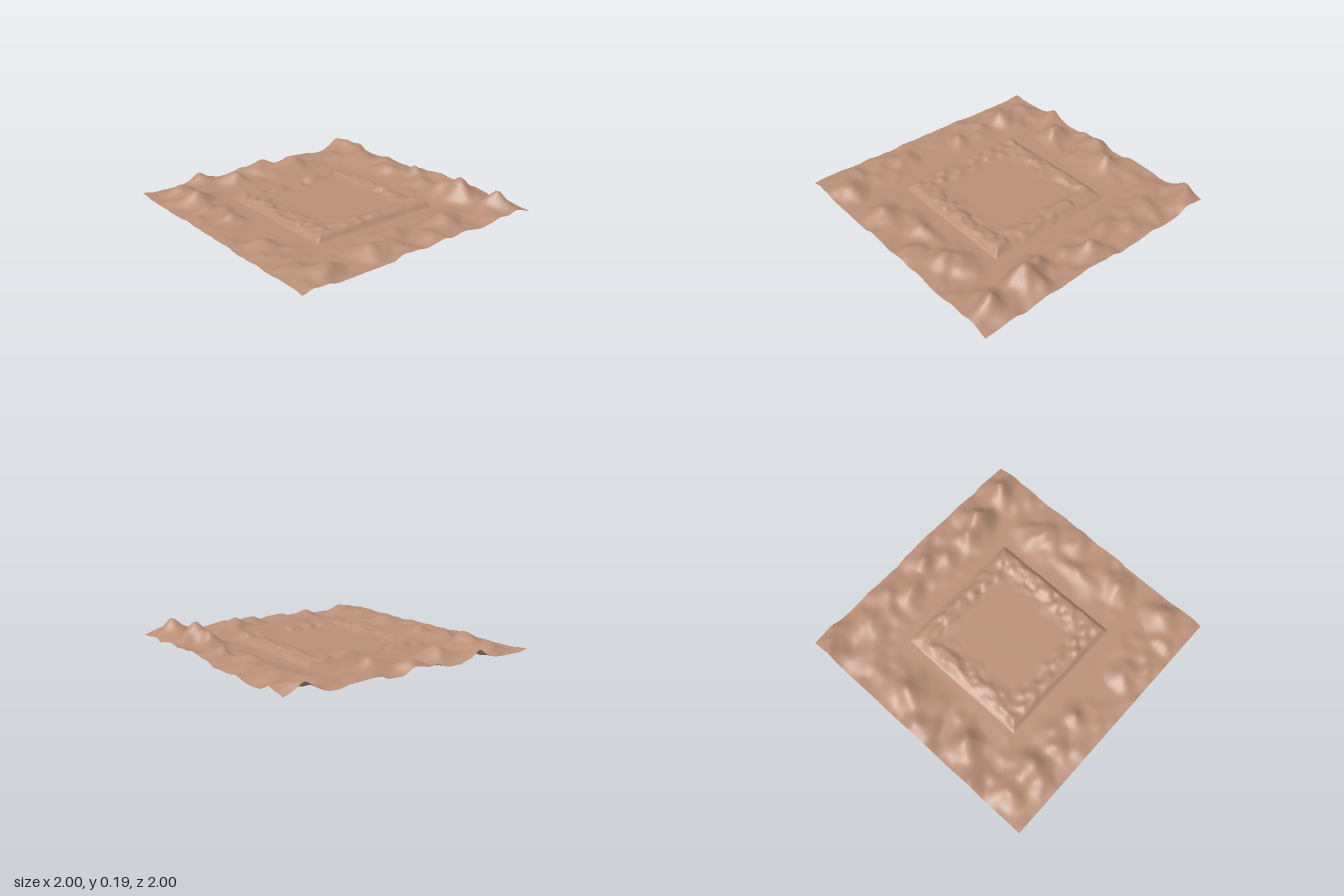
import * as THREE from 'three';

const PLAIN = 0.03;
const clamp = (v) => Math.min(1, Math.max(0, v));
const smooth = (a, b, v) => { const t = clamp((v - a) / (b - a)); return t * t * (3 - 2 * t); };

// Seeded smooth value noise, 0..1
function hash(i, j) {
  const s = Math.sin(i * 127.1 + j * 311.7 + 4.3) * 43758.5453;
  return s - Math.floor(s);
}
function noise(x, z) {
  const i = Math.floor(x), j = Math.floor(z);
  const u = smooth(0, 1, x - i), v = smooth(0, 1, z - j);
  const a = hash(i, j) * (1 - u) + hash(i + 1, j) * u;
  const b = hash(i, j + 1) * (1 - u) + hash(i + 1, j + 1) * u;
  return a * (1 - v) + b * v;
}

// Main hills: x, z, height, radius
const HILLS = [
  [0.52, -0.82, 0.135, 0.11], [0.34, -0.76, 0.09, 0.08], [0.83, -0.84, 0.11, 0.11],
  [-0.03, -0.88, 0.09, 0.09], [-0.2, -0.74, 0.07, 0.09], [0.12, -0.78, 0.06, 0.08],
  [-0.6, -0.8, 0.05, 0.11], [-0.93, -0.9, 0.07, 0.12], [-0.4, -0.85, 0.04, 0.09],
  [-0.78, -0.25, 0.08, 0.1], [-0.94, 0.0, 0.07, 0.1], [-0.76, 0.3, 0.08, 0.09],
  [-0.95, 0.5, 0.07, 0.1], [-0.6, 0.74, 0.09, 0.09], [-0.84, 0.78, 0.08, 0.09],
  [-0.4, 0.76, 0.06, 0.08], [-0.16, 0.74, 0.06, 0.08], [0.3, 0.8, 0.05, 0.1],
  [0.68, 0.82, 0.05, 0.1], [0.9, 0.78, 0.06, 0.1], [0.83, 0.34, 0.07, 0.1],
  [0.72, 0.04, 0.04, 0.09], [0.78, -0.36, 0.07, 0.1], [0.93, -0.12, 0.06, 0.1],
];

// Hilly border falling to a level plain around the middle
function landHeight(x, z) {
  const m = Math.max(Math.abs(x), Math.abs(z));
  const wx = x + 0.07 * (noise(x * 8 + 60, z * 8 + 60) - 0.5);
  const wz = z + 0.07 * (noise(x * 8 + 80, z * 8 + 80) - 0.5);
  let h = 0.05 * noise(x * 6 + 20, z * 6 + 20) + 0.025 * noise(x * 13 + 40, z * 13 + 40) - 0.028;
  for (const [cx, cz, height, r] of HILLS) {
    const q = ((wx - cx) ** 2 + (wz - cz) ** 2) / (r * r);
    h += 0.95 * height * Math.exp(-Math.pow(q, 0.85));
  }
  const frontFade = 1 - 0.6 * smooth(0.9, 1, z);
  const border = smooth(0.55, 0.74, m + 0.08 * (noise(x * 5, z * 5) - 0.5));
  return PLAIN + Math.max(0, h) * border * frontFade;
}

// Plateau cross-section: distance from centre, height
const PROFILE = [[0, 0.045], [0.3, 0.045], [0.36, 0.053], [0.42, 0.072], [0.455, 0.068],
  [0.51, 0.033], [0.525, 0.027], [0.56, 0.01]];

// Square plateau with an uneven rocky rim, steeper at front and left, on a tilted skirt
function plateauHeight(x, z) {
  const m = Math.max(Math.abs(x), Math.abs(z));
  const rough = noise(x * 14 + 7, z * 14 + 7) - 0.5;
  const steep = 0.022 * smooth(0.4, 0.47, Math.max(x, z)) * (1 - smooth(0.485, 0.505, m));
  const d = m - steep + 0.07 * rough * smooth(0.2, 0.34, m) * (1 - smooth(0.42, 0.49, m))
    + 0.02 * rough * smooth(0.44, 0.48, m) * (1 - smooth(0.49, 0.52, m));
  const k = Math.max(1, PROFILE.findIndex((p) => p[0] >= d - 1e-6));
  const [a, ya] = PROFILE[k - 1], [b, yb] = PROFILE[k];
  const y = ya + (yb - ya) * clamp((d - a) / (b - a));
  const rim = smooth(0.32, 0.4, m) * (1 - smooth(0.45, 0.5, m));
  return y + 0.03 * rim * (noise(x * 18 + 50, z * 18 + 50) - 0.5)
    - 0.0178 * x * smooth(0.51, 0.56, m);
}

// Square height sheet, optionally with a square opening
function sheet(half, segments, heightAt, hole = 0) {
  const geo = new THREE.PlaneGeometry(half * 2, half * 2, segments, segments).rotateX(-Math.PI / 2);
  const p = geo.attributes.position;
  for (let i = 0; i < p.count; i++) p.setY(i, heightAt(p.getX(i), p.getZ(i)));
  const kept = [], index = geo.index.array;
  for (let i = 0; i < index.length; i += 3) {
    const tri = [index[i], index[i + 1], index[i + 2]];
    const cx = tri.reduce((s, v) => s + p.getX(v), 0) / 3;
    const cz = tri.reduce((s, v) => s + p.getZ(v), 0) / 3;
    if (Math.max(Math.abs(cx), Math.abs(cz)) > hole) kept.push(...tri);
  }
  geo.setIndex(kept);
  geo.computeVertexNormals();
  return geo;
}

export function createModel() {
  const group = new THREE.Group();
  group.name = 'terrain';
  const earth = new THREE.MeshStandardMaterial({ color: 0xb88f78, side: THREE.DoubleSide });
  earth.name = 'brown earth';

  const land = new THREE.Mesh(sheet(1, 100, landHeight, 0.5), earth);
  land.name = 'hillyBorder';
  const plateau = new THREE.Mesh(sheet(0.56, 96, plateauHeight), earth);
  plateau.name = 'rockyPlateau';
  group.add(land, plateau);
  return group;
}
